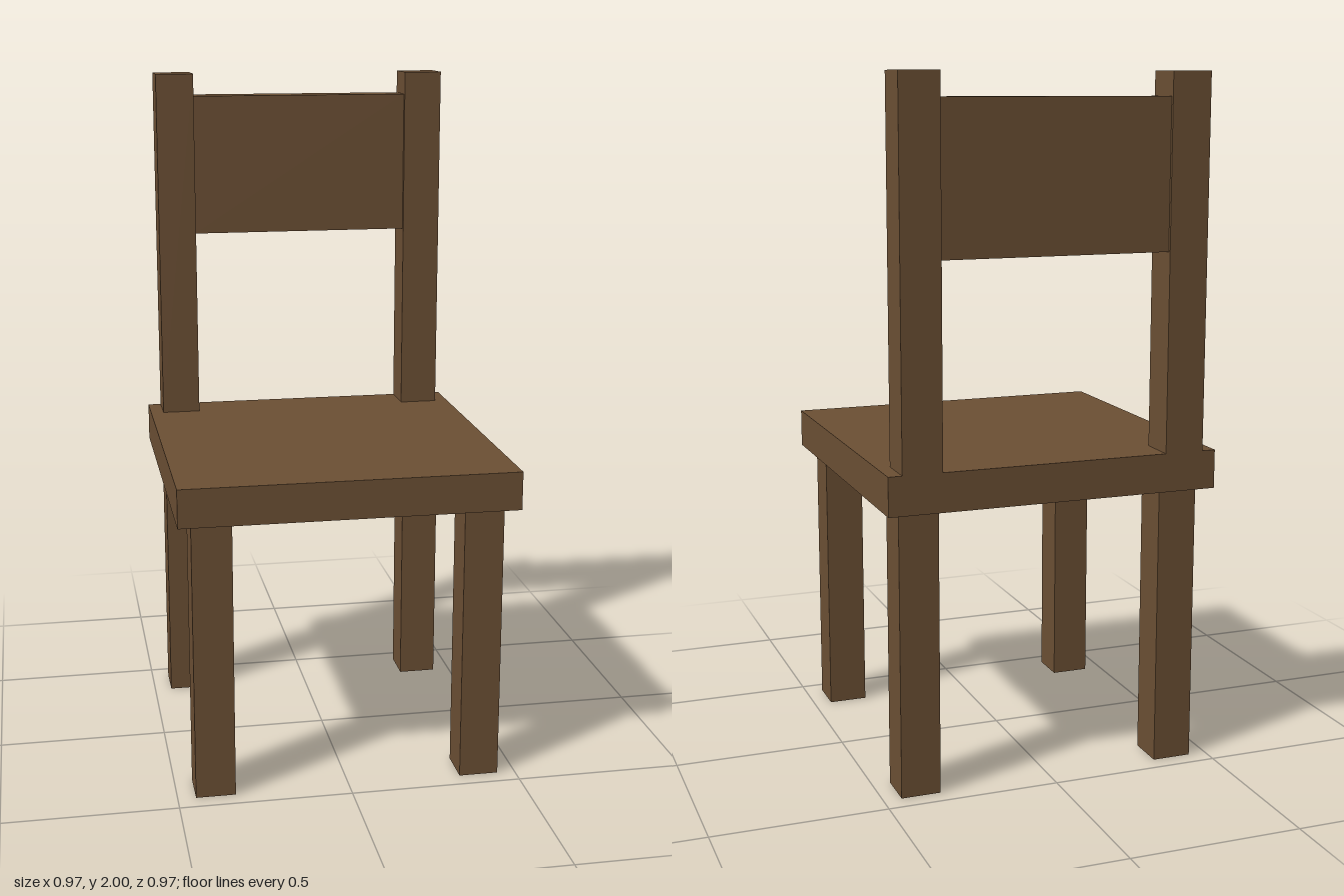
import * as THREE from 'three';

export function createModel() {
  const chair = new THREE.Group();
  chair.name = 'chair';
  const wood = new THREE.MeshStandardMaterial({ color: 0x6b4f34 });
  wood.name = 'brown wood';

  // Adds a box given its lower and upper corners
  function addBox(name, [x0, y0, z0], [x1, y1, z1]) {
    const mesh = new THREE.Mesh(new THREE.BoxGeometry(x1 - x0, y1 - y0, z1 - z0), wood);
    mesh.position.set((x0 + x1) / 2, (y0 + y1) / 2, (z0 + z1) / 2);
    mesh.name = name;
    chair.add(mesh);
  }

  const half = 0.487, seatBottom = 0.825, seatTop = 0.937;
  const legX = 0.39, h = 0.0575; // leg centre and half thickness

  addBox('seat', [-half, seatBottom, -half], [half, seatTop, half]);

  for (const [side, sx] of [['left', 1], ['right', -1]]) {
    const x = sx * legX;
    // Front and back legs
    for (const [end, sz] of [['Front', 1], ['Back', -1]]) {
      const z = sz * legX;
      addBox(side + end + 'Leg', [x - h, 0, z - h], [x + h, seatBottom, z + h]);
    }
    // Backrest post, flush with the rear of the seat
    addBox(side + 'BackPost', [x - h, seatTop, -half], [x + h, 2, -half + 2 * h]);
  }

  // Panel between the posts
  const inner = legX - h;
  addBox('backPanel', [-inner, 1.508, -0.478], [inner, 1.932, -0.384]);

  return chair;
}
